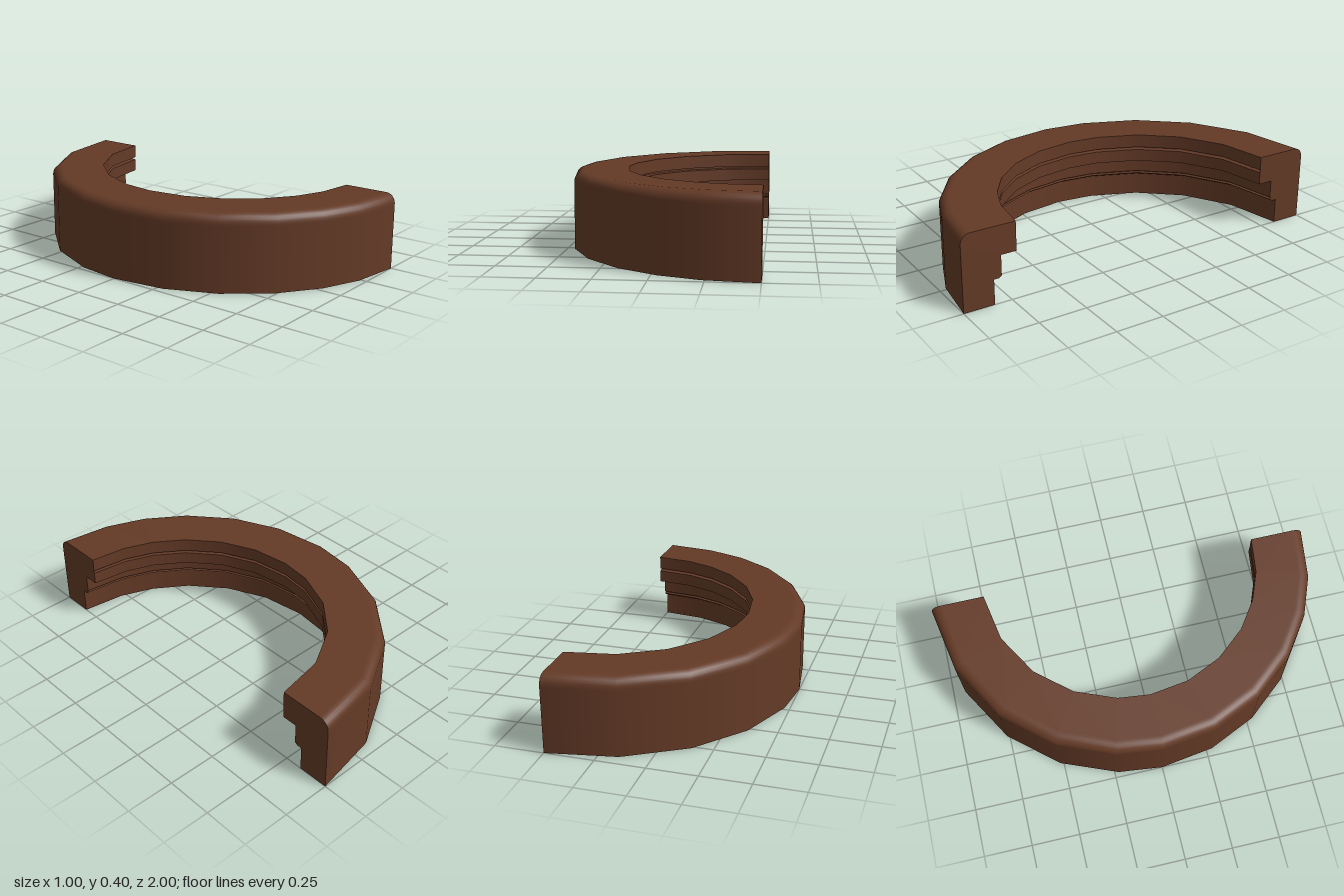
import * as THREE from 'three';
import { mergeGeometries } from 'three/addons/utils/BufferGeometryUtils.js';

// Sweep stations in degrees, from the back end to the front end
const STATIONS = [0, 20.4, 40.2, 58.8, 76.7, 90, 106.3, 122.2, 137.9, 152, 164.8, 180];
const H = 0.395, R = 1, FILLET = 0.05;

// Sweep one smooth strip of the section round the half circle
function sweep(points) {
  const n = STATIONS.length - 1;
  const geo = new THREE.LatheGeometry(points.map(p => new THREE.Vector2(p[0], p[1])), n, Math.PI, Math.PI);
  const v = new THREE.Vector3(), up = new THREE.Vector3(0, 1, 0);
  for (const name of ['position', 'normal']) {
    const a = geo.attributes[name];
    for (let i = 0; i < a.count; i++) {
      const k = Math.floor(i / points.length);
      const turn = THREE.MathUtils.degToRad(STATIONS[k] - 180 * k / n);
      v.fromBufferAttribute(a, i).applyAxisAngle(up, turn);
      a.setXYZ(i, v.x, v.y, v.z);
    }
  }
  return geo;
}

export function createModel() {
  const model = new THREE.Group();
  model.name = 'halfRing';
  const brown = new THREE.MeshStandardMaterial({ color: 0x643a26 });
  brown.name = 'brown';

  const add = (name, geo) => {
    const mesh = new THREE.Mesh(geo, brown);
    mesh.name = name;
    mesh.position.x = 0.5;
    model.add(mesh);
  };

  // Outer wall rolling over a rounded shoulder onto the flat top
  const shell = [[R, 0], [R, H - FILLET - 0.01]];
  for (let i = 0; i <= 6; i++) {
    const a = i / 6 * Math.PI / 2;
    shell.push([R - FILLET + FILLET * Math.cos(a), H - FILLET + FILLET * Math.sin(a)]);
  }
  shell.push([R - FILLET - 0.01, H], [0.72, H]);
  add('outerShell', sweep(shell));

  // Stepped bore with two narrow grooves, each edge kept sharp
  const bore = [
    [0.72, H], [0.72, 0.325], [0.75, 0.322], [0.75, 0.313], [0.72, 0.31],
    [0.72, 0.245], [0.8, 0.245], [0.8, 0.152], [0.82, 0.15], [0.82, 0.142],
    [0.8, 0.14], [0.815, 0.13], [0.84, 0.13], [0.84, 0]
  ];
  const strips = bore.slice(1).map((p, i) => sweep([bore[i], p]));
  add('steppedBore', mergeGeometries(strips));

  // Flat underside
  add('underside', sweep([[0.84, 0], [R, 0]]));

  // Cut faces closing both ends
  const section = [...shell, [0.72, 0.245], [0.8, 0.245], [0.8, 0.14], [0.815, 0.13], [0.84, 0.13], [0.84, 0]];
  for (const side of [1, -1]) {
    const shape = new THREE.Shape(section.map(p => new THREE.Vector2(-side * p[0], p[1])));
    add(side > 0 ? 'frontEndFace' : 'backEndFace', new THREE.ShapeGeometry(shape).rotateY(Math.PI / 2));
  }
  return model;
}
